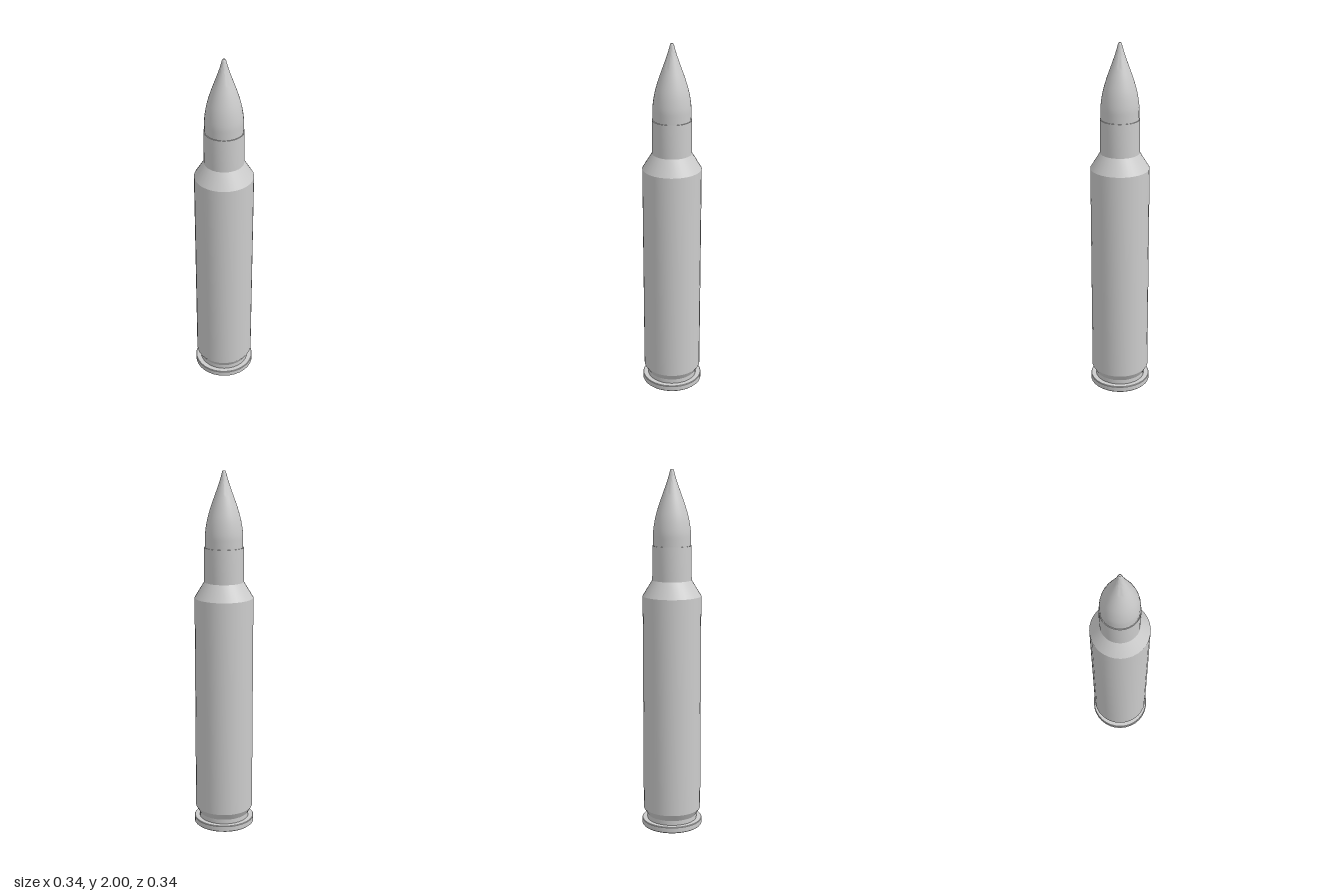
import * as THREE from 'three';
import { toCreasedNormals } from 'three/addons/utils/BufferGeometryUtils.js';

const SIDES = 32;
const material = new THREE.MeshStandardMaterial({ color: 0xcccccc });

// Revolve a bottom-to-top profile of [radius, height] pairs, keeping hard corners sharp
function turned(name, profile) {
  const points = profile.map(([r, y]) => new THREE.Vector2(r, y));
  const geometry = toCreasedNormals(new THREE.LatheGeometry(points, SIDES), 0.5);
  const mesh = new THREE.Mesh(geometry, material);
  mesh.name = name;
  return mesh;
}

export function createModel() {
  const group = new THREE.Group();
  group.name = 'cartridge';

  // Case: recessed base pocket, rim, extractor groove, body, shoulder, neck and lip
  group.add(turned('case', [
    [0, 0.025], [0.09, 0.025], [0.095, 0.004], [0.105, 0],
    [0.166, 0], [0.17, 0.004], [0.17, 0.033], [0.167, 0.036],
    [0.14, 0.036], [0.14, 0.062], [0.162, 0.1],
    [0.161, 1.318], [0.108, 1.405], [0.107, 1.592], [0.1, 1.592],
  ]));

  // Primer: shallow disc with a dimple, set into the base pocket
  group.add(turned('primer', [
    [0, 0.014], [0.025, 0.012], [0.045, 0.006], [0.068, 0.004], [0.077, 0.008], [0.08, 0.025],
  ]));

  // Projectile: smooth ogive narrowing to a small rounded tip
  const ogive = new THREE.SplineCurve([
    [0.102, 1.56], [0.103, 1.62], [0.102, 1.67], [0.091, 1.74],
    [0.071, 1.81], [0.046, 1.88], [0.025, 1.94], [0.012, 1.985],
  ].map(([r, y]) => new THREE.Vector2(r, y)));
  const sides = ogive.getPoints(28).map((p) => [p.x, p.y]);
  group.add(turned('projectile', [...sides, [0.01, 1.994], [0.006, 1.999], [0, 2]]));

  return group;
}
